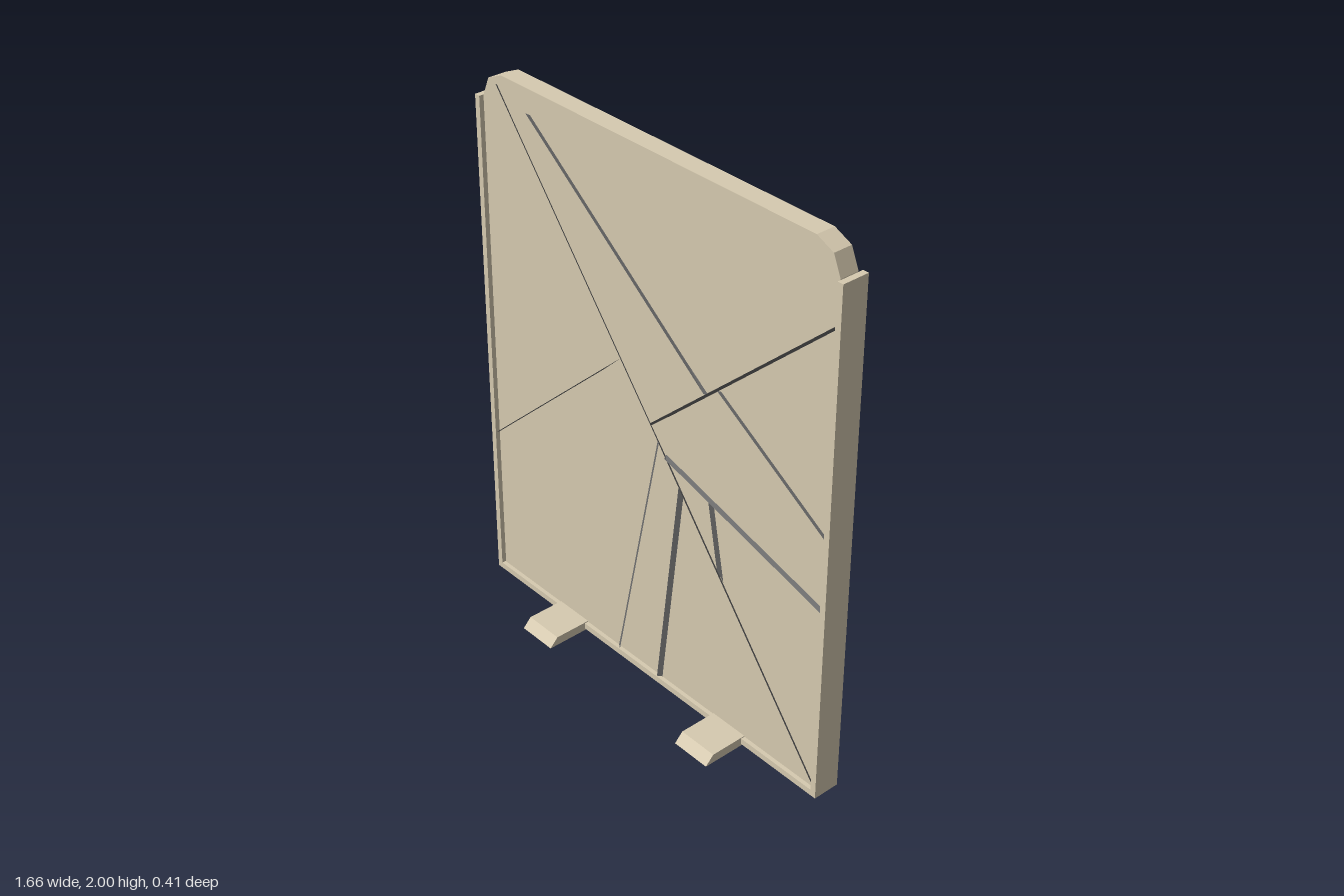
import * as THREE from 'three';

const cream = new THREE.MeshStandardMaterial({ color: 0xd6cab0, flatShading: true });
const dark = new THREE.MeshStandardMaterial({ color: 0x6c6c6c, flatShading: true, side: THREE.DoubleSide });

function addMesh(parent, name, geometry, material, x = 0, y = 0, z = 0) {
  const mesh = new THREE.Mesh(geometry, material);
  mesh.name = name;
  mesh.position.set(x, y, z);
  parent.add(mesh);
  return mesh;
}

// Extrude an outline, centred on its depth
function slab(points, depth) {
  const shape = new THREE.Shape(points.map(([x, y]) => new THREE.Vector2(x, y)));
  return new THREE.ExtrudeGeometry(shape, { depth, bevelEnabled: false }).translate(0, 0, -depth / 2);
}

// Thin four-cornered sheet
function sheet(a, b, c, d) {
  const g = new THREE.BufferGeometry();
  g.setAttribute('position', new THREE.Float32BufferAttribute([...a, ...b, ...c, ...d], 3));
  g.setIndex([0, 1, 2, 0, 2, 3]);
  g.computeVertexNormals();
  return g;
}

export function createModel() {
  const model = new THREE.Group();
  model.name = 'partitionScreen';

  // Panel with clipped top corners
  addMesh(model, 'panel', slab([
    [-0.803, 0.03], [0.803, 0.03], [0.803, 1.9], [0.773, 1.97], [0.705, 2],
    [-0.705, 2], [-0.773, 1.97], [-0.803, 1.9],
  ], 0.07), cream);

  // U-shaped edging around sides and bottom
  addMesh(model, 'edgeFrame', slab([
    [-0.828, 0.01], [0.828, 0.01], [0.828, 1.9], [0.806, 1.9],
    [0.806, 0.033], [-0.806, 0.033], [-0.806, 1.9], [-0.828, 1.9],
  ], 0.1), cream);

  // Feet: low bars with sloping ends
  for (const side of [-1, 1]) {
    const foot = slab([[-0.207, 0.003], [0.207, 0.003], [0.175, 0.036], [-0.175, 0.036]], 0.152);
    foot.rotateY(Math.PI / 2);
    addMesh(model, side > 0 ? 'leftFoot' : 'rightFoot', foot, cream, side * 0.405);
  }

  // Slanted inlay strips: front line start and end, back line start and end
  const f = 0.047;
  const strips = [
    [[-0.72, 1.97], [0.02, 1.05], [-0.78, 1.9], [-0.07, 1.0]],
    [[0.02, 1.05], [0.804, 0.06], [-0.07, 1.0], [0.72, 0.04]],
    [[0.02, 1.05], [0.804, 1.755], [-0.02, 0.94], [0.804, 1.66]],
    [[0.33, 1.32], [0.804, 1.025], [0.38, 1.28], [0.804, 1.015]],
    [[0.27, 1.28], [-0.57, 1.92], [0.35, 1.24], [-0.51, 1.865]],
    [[-0.13, 1.22], [-0.804, 0.61], [-0.2, 1.165], [-0.804, 0.59]],
    [[0.09, 0.95], [0.804, 0.75], [0.07, 1.02], [0.804, 0.82]],
    [[0.3, 0.89], [0.345, 0.65], [0.38, 0.92], [0.49, 0.31]],
  ];
  const inlay = new THREE.Group();
  inlay.name = 'inlayStrips';
  model.add(inlay);
  strips.forEach(([a, b, c, d], i) => {
    addMesh(inlay, 'strip' + (i + 1), sheet([...a, f], [...b, f], [...d, -f], [...c, -f]), dark);
  });

  // Support fins passing through the panel to points on the floor behind
  addMesh(model, 'rightFin', sheet(
    [-0.145, 0.012, f], [0.065, 1.0, f], [-0.085, 0.96, -f], [-0.485, 0.003, -0.163]), dark);
  addMesh(model, 'leftFin', sheet(
    [0.053, 0.012, f], [0.16, 0.88, f], [0.237, 0.58, -f], [0.378, 0.002, -0.207]), dark);

  return model;
}
